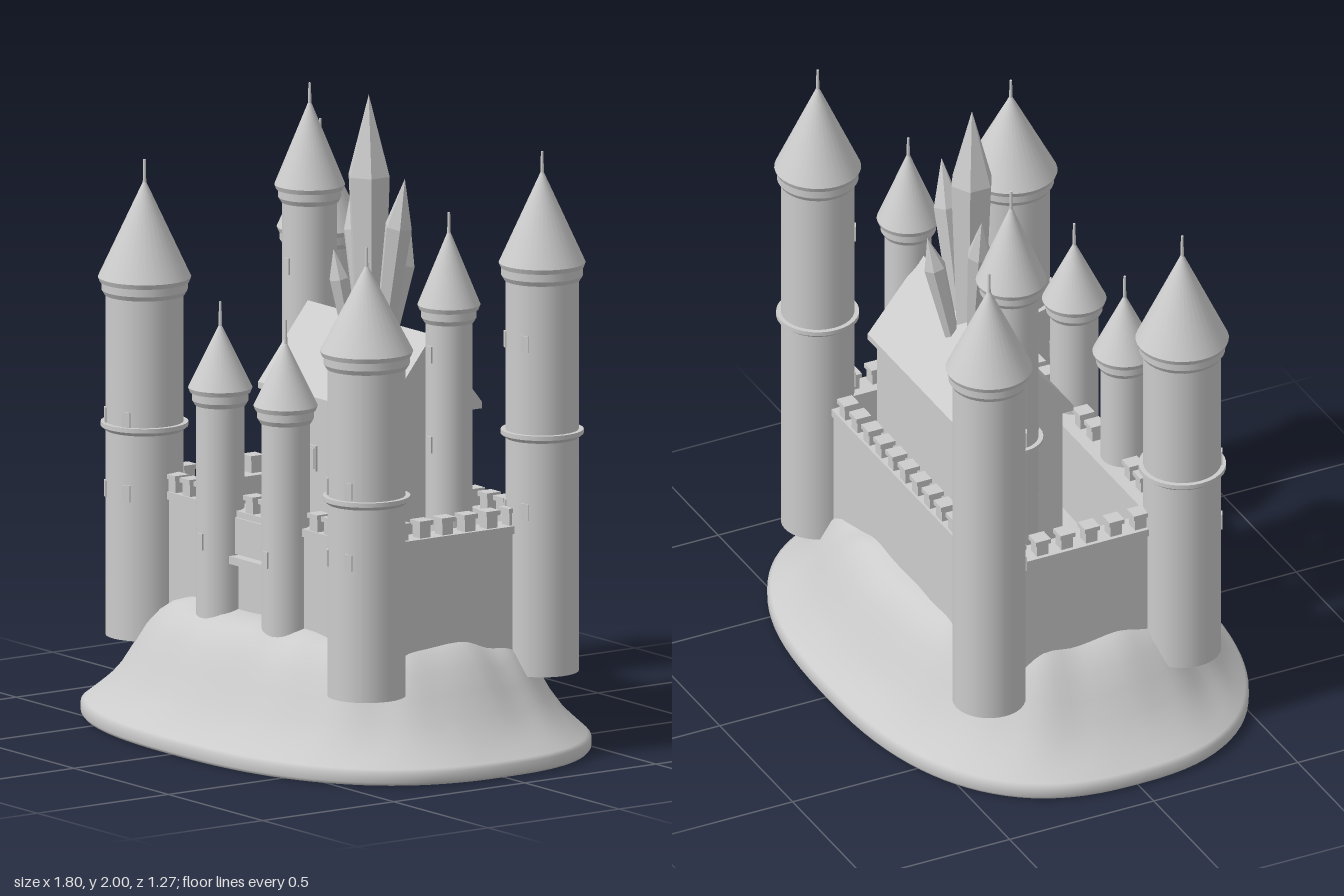
import * as THREE from 'three';

const stone = new THREE.MeshStandardMaterial({ color: 0xcccccc });
stone.name = 'pale stone';
const moundStone = stone.clone();
moundStone.name = 'mound stone';
moundStone.side = THREE.DoubleSide;
const facetStone = stone.clone();
facetStone.name = 'faceted stone';
facetStone.flatShading = true;

function add(parent, name, geometry, x = 0, y = 0, z = 0, material = stone) {
  const mesh = new THREE.Mesh(geometry, material);
  mesh.name = name;
  mesh.position.set(x, y, z);
  parent.add(mesh);
  return mesh;
}

// box given by its limits on each axis
function block(parent, name, x0, x1, y0, y1, z0, z1) {
  return add(parent, name, new THREE.BoxGeometry(x1 - x0, y1 - y0, z1 - z0),
    (x0 + x1) / 2, (y0 + y1) / 2, (z0 + z1) / 2);
}

// hollow hill: rounded-oblong rings of [scale, height], rising inward
function mound() {
  const rings = [[0.965, 0.012], [0.99, 0.005], [1, 0.015], [1, 0.045], [0.985, 0.055], [0.94, 0.085],
    [0.89, 0.125], [0.84, 0.175], [0.79, 0.24], [0.74, 0.305], [0.69, 0.35], [0.64, 0.38],
    [0.57, 0.4], [0.48, 0.41], [0.3, 0.41], [0.001, 0.41]];
  const n = 96, positions = [], index = [];
  const power = (v) => Math.sign(v) * Math.pow(Math.abs(v), 0.8);
  rings.forEach(([s, h], k) => {
    const bump = k > 5 && k < 14 ? Math.sin((k - 5) / 9 * Math.PI) : 0;
    for (let i = 0; i < n; i++) {
      const a = i / n * Math.PI * 2;
      const wave = 0.008 * Math.sin(9 * a + 1) + 0.006 * Math.sin(16 * a + k * 0.3);
      positions.push(0.9 * s * power(Math.cos(a)), h + bump * wave, 0.637 * s * power(Math.sin(a)));
      if (k < rings.length - 1) {
        const p = k * n + i, q = k * n + (i + 1) % n;
        index.push(p, p + n, q, q, p + n, q + n);
      }
    }
  });
  const g = new THREE.BufferGeometry();
  g.setAttribute('position', new THREE.Float32BufferAttribute(positions, 3));
  g.setIndex(index);
  g.computeVertexNormals();
  return g;
}

// round tower with collar, conical roof, spike, optional belt and windows
function tower(parent, name, t) {
  const g = new THREE.Group();
  g.name = name;
  g.position.set(t.x, 0, t.z);
  parent.add(g);
  const drum = (part, r0, r1, y0, y1) =>
    add(g, part, new THREE.CylinderGeometry(r1, r0, y1 - y0, 32), 0, (y0 + y1) / 2, 0);
  const { r, roof, eave, apex } = t;
  drum('shaft', r, r, t.foot ?? 0.25, eave);
  drum('collarMoulding', r + 0.004, r + 0.013, eave - 0.055, eave - 0.04);
  drum('collar', r + 0.013, r + 0.013, eave - 0.04, eave - 0.015);
  drum('roofRim', roof - 0.006, roof, eave - 0.015, eave);
  add(g, 'roof', new THREE.ConeGeometry(roof, apex - eave, 32), 0, (eave + apex) / 2, 0);
  drum('spike', 0.006, 0.004, apex - 0.03, t.spike);
  if (t.belt) {
    drum('beltUnderside', r, r + 0.015, t.belt - 0.012, t.belt);
    drum('belt', r + 0.015, r + 0.015, t.belt, t.belt + 0.014);
  }
  for (const [angle, y] of t.windows) {
    const a = angle * Math.PI / 180;
    const w = add(g, 'window', new THREE.BoxGeometry(0.026, 0.052, 0.009),
      Math.sin(a) * r, y, Math.cos(a) * r);
    w.rotation.y = a;
  }
}

// tapered six-sided crystal leaning from base to tip
function crystal(parent, base, tip, radius) {
  const from = new THREE.Vector3(...base), dir = new THREE.Vector3(...tip).sub(from);
  const len = dir.length();
  const profile = [[0, 0], [radius * 0.65, 0], [radius, len * 0.7], [0, len]]
    .map(([x, y]) => new THREE.Vector2(x, y));
  const m = add(parent, 'crystal', new THREE.LatheGeometry(profile, 6), ...base, facetStone);
  m.quaternion.setFromUnitVectors(new THREE.Vector3(0, 1, 0), dir.normalize());
}

function merlon(parent, x, z) {
  block(parent, 'merlon', x - 0.02, x + 0.02, 0.715, 0.762, z - 0.02, z + 0.02);
  block(parent, 'merlonCap', x - 0.026, x + 0.026, 0.76, 0.775, z - 0.026, z + 0.026);
}

export function createModel() {
  const castle = new THREE.Group();
  castle.name = 'castle';
  add(castle, 'mound', mound(), 0, 0, 0, moundStone);

  // curtain walls with a string course along the top
  const walls = new THREE.Group();
  walls.name = 'curtainWalls';
  castle.add(walls);
  const runs = [[-0.59, 0.59, 0.23, 0.3], [-0.59, 0.59, -0.365, -0.32],
    [-0.59, -0.52, -0.35, 0.28], [0.52, 0.59, -0.35, 0.28]];
  for (const [x0, x1, z0, z1] of runs) {
    block(walls, 'wall', x0, x1, 0.3, 0.7, z0, z1);
    block(walls, 'stringCourse', x0 - 0.008, x1 + 0.008, 0.695, 0.72, z0 - 0.008, z1 + 0.008);
  }
  for (let i = -5; i <= 5; i++) merlon(walls, i * 0.083, -0.345);
  for (const x of [0.04, 0.3, 0.375, 0.45]) for (const s of [-1, 1]) merlon(walls, s * x, 0.282);
  for (let i = 0; i < 6; i++) for (const s of [-1, 1]) merlon(walls, s * 0.565, -0.26 + i * 0.085);

  // gate front between the two small towers
  block(castle, 'gateHead', -0.12, 0.12, 0.585, 0.7, 0.29, 0.315);
  block(castle, 'gateLedge', -0.12, 0.12, 0.555, 0.58, 0.29, 0.335);

  // great hall with gabled roof
  const hall = new THREE.Group();
  hall.name = 'greatHall';
  castle.add(hall);
  block(hall, 'hallBody', -0.305, 0.305, 0.35, 1.05, -0.3, 0.035);
  block(hall, 'eaves', -0.33, 0.33, 1.04, 1.06, -0.32, 0.06);
  const gable = new THREE.Shape([[-0.19, 0], [0.19, 0], [0, 0.235]].map((p) => new THREE.Vector2(...p)));
  const roof = new THREE.ExtrudeGeometry(gable, { depth: 0.66, bevelEnabled: false });
  add(hall, 'hallRoof', roof, -0.33, 1.06, -0.13).rotation.y = Math.PI / 2;
  for (const x of [-0.22, -0.07, 0.075, 0.22]) {
    block(hall, 'windowFrame', x - 0.021, x + 0.021, 0.82, 0.9, 0.034, 0.042);
    block(hall, 'windowPane', x - 0.014, x + 0.014, 0.828, 0.892, 0.041, 0.046);
  }

  // corner towers
  const pair = (...ys) => ys.flatMap((y) => [[-27, y], [27, y]]);
  tower(castle, 'frontRightTower', { x: -0.588, z: 0.307, r: 0.121, roof: 0.145, eave: 1.38, apex: 1.69,
    spike: 1.75, belt: 0.91, windows: pair(0.715, 0.945) });
  tower(castle, 'frontLeftTower', { x: 0.588, z: 0.307, r: 0.121, roof: 0.145, eave: 1.34, apex: 1.615,
    spike: 1.665, belt: 0.87, windows: pair(0.69, 0.915) });
  tower(castle, 'backRightTower', { x: -0.588, z: -0.363, r: 0.113, roof: 0.135, eave: 1.46, apex: 1.745,
    spike: 1.8, windows: pair(0.75, 1.2) });
  tower(castle, 'backLeftTower', { x: 0.588, z: -0.363, r: 0.114, roof: 0.135, eave: 1.54, apex: 1.835,
    spike: 1.89, belt: 1.0, windows: pair(0.77, 1.3) });

  // inner towers
  tower(castle, 'tallInnerTower', { x: -0.417, z: -0.2, r: 0.085, roof: 0.11, eave: 1.64, apex: 1.91,
    spike: 1.96, belt: 1.055, windows: [[0, 0.81], [0, 1.1], [0, 1.39]] });
  tower(castle, 'smallInnerTower', { x: 0.394, z: -0.147, r: 0.073, roof: 0.098, eave: 1.4, apex: 1.64,
    spike: 1.69, windows: [[0, 0.965], [0, 1.25]] });

  // gate towers
  for (const s of [-1, 1]) {
    tower(castle, 'gateTower', { x: s * 0.173, z: 0.317, r: 0.075, roof: 0.1, eave: 1.1, apex: 1.305,
      spike: 1.37, windows: [[0, 0.62]] });
  }

  // crystal cluster on the ridge
  const crystals = new THREE.Group();
  crystals.name = 'crystals';
  castle.add(crystals);
  crystal(crystals, [0, 1.15, -0.13], [0, 2, -0.125], 0.07);
  crystal(crystals, [0.06, 1.24, -0.14], [0.15, 1.755, -0.155], 0.045);
  crystal(crystals, [-0.055, 1.24, -0.145], [-0.145, 1.685, -0.165], 0.04);
  crystal(crystals, [-0.03, 1.2, -0.08], [-0.055, 1.515, -0.03], 0.032);
  crystal(crystals, [0.05, 1.2, -0.09], [0.095, 1.46, -0.06], 0.032);
  crystal(crystals, [0.01, 1.2, -0.19], [0.03, 1.56, -0.265], 0.036);
  return castle;
}
